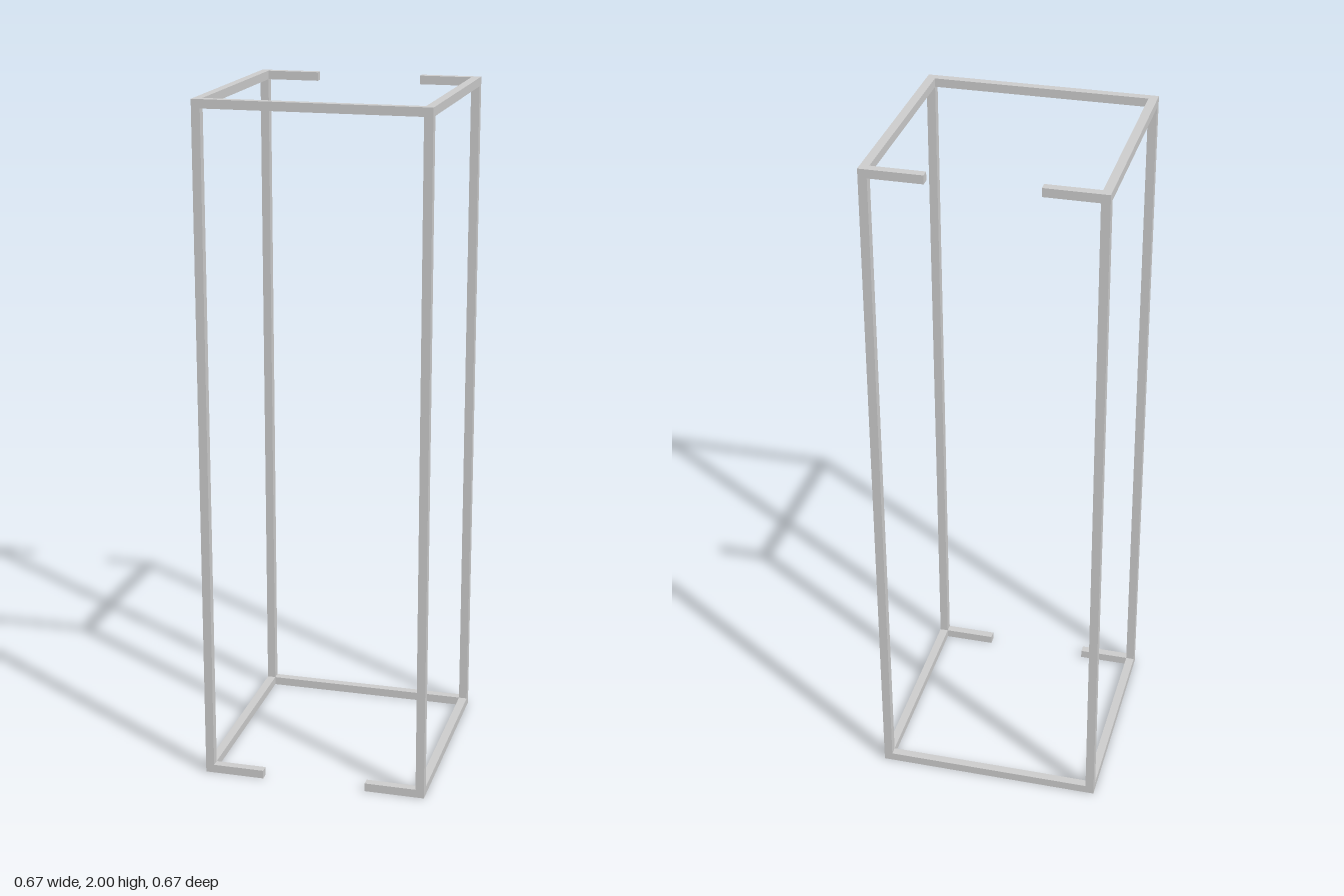
import * as THREE from 'three';

const HALF = 0.3325;  // half of the outer width and depth
const HEIGHT = 2;
const BAR = 0.025;    // square bar thickness
const GAP = 0.155;    // half-width of the opening in a split rail

export function createModel() {
  const model = new THREE.Group();
  model.name = 'openFrame';
  const material = new THREE.MeshStandardMaterial({ color: 0xcccccc });

  const addBar = (name, size, position) => {
    const mesh = new THREE.Mesh(new THREE.BoxGeometry(...size), material);
    mesh.name = name;
    mesh.position.set(...position);
    model.add(mesh);
  };

  const mid = HALF - BAR / 2;    // centre line of the outer bars
  const inner = HALF - BAR;      // inside face of the posts
  const stub = inner - GAP;
  const bottom = BAR / 2;
  const top = HEIGHT - BAR / 2;

  for (const side of [-1, 1]) {
    const label = side > 0 ? 'left' : 'right';

    // Corner posts, full height
    for (const depth of [-1, 1]) {
      addBar(`${label}${depth > 0 ? 'Front' : 'Back'}Post`, [BAR, HEIGHT, BAR], [side * mid, HEIGHT / 2, depth * mid]);
    }

    // Side rails between the posts
    addBar(`${label}BottomRail`, [BAR, BAR, 2 * inner], [side * mid, bottom, 0]);
    addBar(`${label}TopRail`, [BAR, BAR, 2 * inner], [side * mid, top, 0]);

    // Short stubs of the split rails: bottom front and top back
    const x = side * (GAP + stub / 2);
    addBar(`${label}BottomFrontStub`, [stub, BAR, BAR], [x, bottom, mid]);
    addBar(`${label}TopBackStub`, [stub, BAR, BAR], [x, top, -mid]);
  }

  // Unbroken rails: top front and bottom back
  addBar('topFrontRail', [2 * inner, BAR, BAR], [0, top, mid]);
  addBar('bottomBackRail', [2 * inner, BAR, BAR], [0, bottom, -mid]);

  return model;
}
